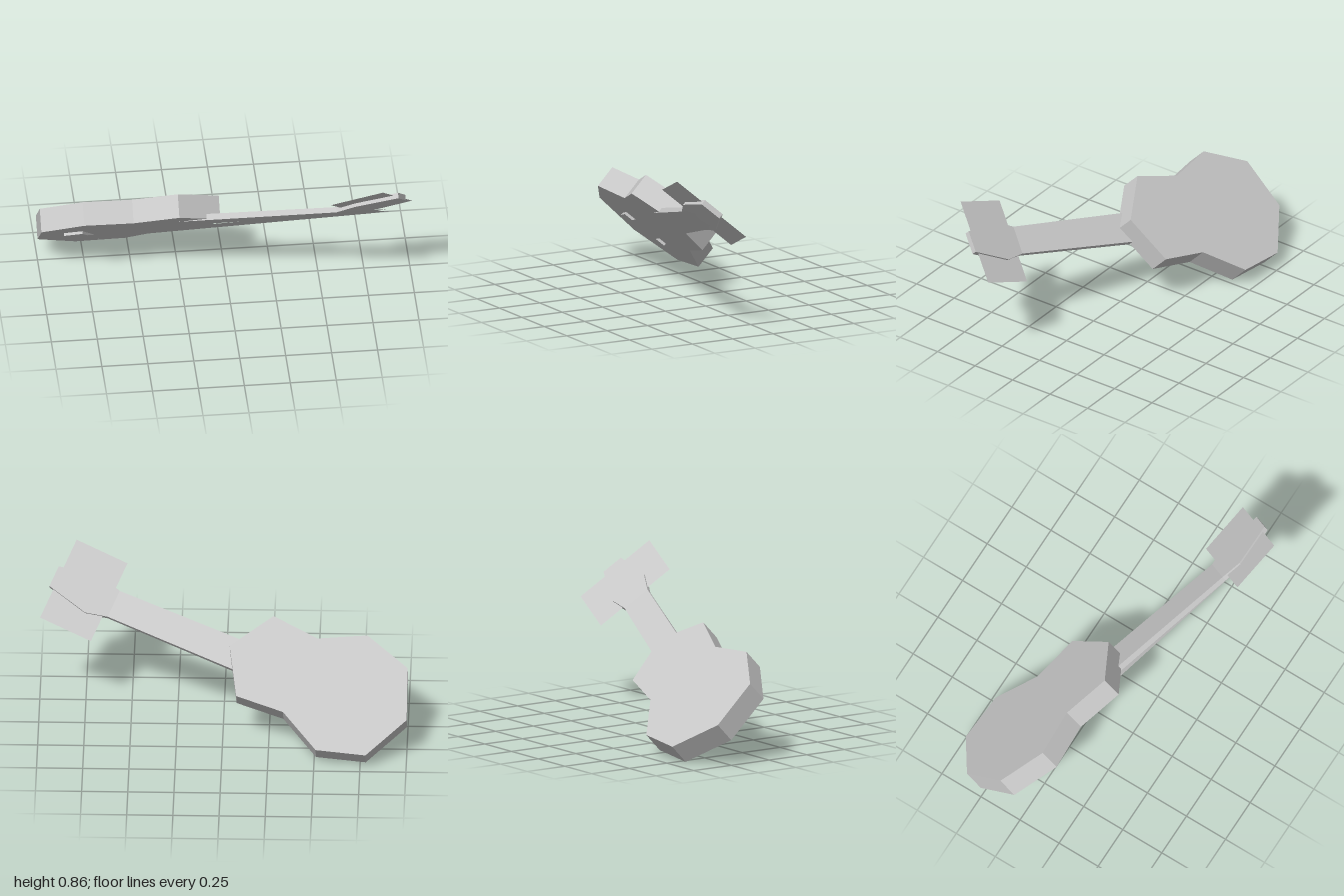
import * as THREE from 'three';

const grey = new THREE.MeshStandardMaterial({ color: 0xc8c8c8 });
grey.name = 'light grey';
grey.side = THREE.DoubleSide;

const toShape = (pts) => new THREE.Shape(pts.map(([x, y]) => new THREE.Vector2(x, y)));

// Straight line height rule through (s0, n0) and (s1, n1)
const ramp = (s0, n0, s1, n1) => (s) => n0 + ((n1 - n0) * (s - s0)) / (s1 - s0);

// Flat-sided slab: an outline whose back and front follow height rules
function slab(name, outline, back, front) {
  const geo = new THREE.ExtrudeGeometry(toShape(outline), { depth: 1, bevelEnabled: false });
  const p = geo.attributes.position;
  for (let i = 0; i < p.count; i++) {
    p.setZ(i, (p.getZ(i) > 0.5 ? front : back)(p.getX(i)));
  }
  geo.computeVertexNormals();
  const mesh = new THREE.Mesh(geo, grey);
  mesh.name = name;
  return mesh;
}

// Single-layer sheet that follows one height rule
function sheet(name, outline, height) {
  const geo = new THREE.ShapeGeometry(toShape(outline));
  const p = geo.attributes.position;
  for (let i = 0; i < p.count; i++) p.setZ(i, height(p.getX(i)));
  geo.computeVertexNormals();
  const mesh = new THREE.Mesh(geo, grey);
  mesh.name = name;
  return mesh;
}

// Outline symmetric about the neck axis, from [along, half width] pairs
const AXIS = 0.31;
const mirrored = (half) => [
  ...half.map(([s, w]) => [s, AXIS - w]),
  ...[...half].reverse().map(([s, w]) => [s, AXIS + w]),
];

export function createModel() {
  const model = new THREE.Group();
  model.name = 'guitar';

  // Whole instrument leans forward
  const lean = new THREE.Group();
  lean.name = 'leaningInstrument';
  lean.rotation.x = 0.812;
  model.add(lean);

  // Body: ten-sided waisted outline
  lean.add(slab('body', [
    [-1, 0.21], [-1, -0.085], [-0.78, -0.287], [-0.51, -0.26], [-0.33, -0.047],
    [-0.075, 0.04], [-0.035, 0.325], [-0.27, 0.495], [-0.51, 0.371], [-0.78, 0.392],
  ], () => -0.404, () => -0.275));

  // Parts laid out along the neck axis
  const along = new THREE.Group();
  along.name = 'neckAssembly';
  along.rotation.z = 0.407;
  lean.add(along);

  along.add(slab('neck', mirrored([[-0.12, 0.087], [0.787, 0.08]]),
    ramp(0.07, -0.3, 0.787, -0.262), ramp(-0.117, -0.275, 0.787, -0.233)));

  // Head tilts back from the end of the neck
  along.add(slab('head', mirrored([[0.787, 0.08], [0.907, 0.112], [1.14, 0.061]]),
    ramp(0.787, -0.262, 1.14, -0.305), ramp(0.787, -0.233, 1.14, -0.275)));

  along.add(sheet('tuningPegs', mirrored([[0.814, 0.241], [1.115, 0.241]]),
    ramp(0.814, -0.255, 1.115, -0.292)));

  along.add(slab('bridge', mirrored([[-0.754, 0.138], [-0.649, 0.138]]),
    () => -0.28, () => -0.26));

  // Strings end in a notched tail over the head
  along.add(sheet('strings', [
    [-0.705, 0.235], [0.92, 0.232], [1.06, 0.258], [0.993, 0.31], [1.06, 0.36],
    [0.93, 0.388], [-0.705, 0.4],
  ], ramp(-0.7, -0.257, 1.06, -0.225)));

  return model;
}
